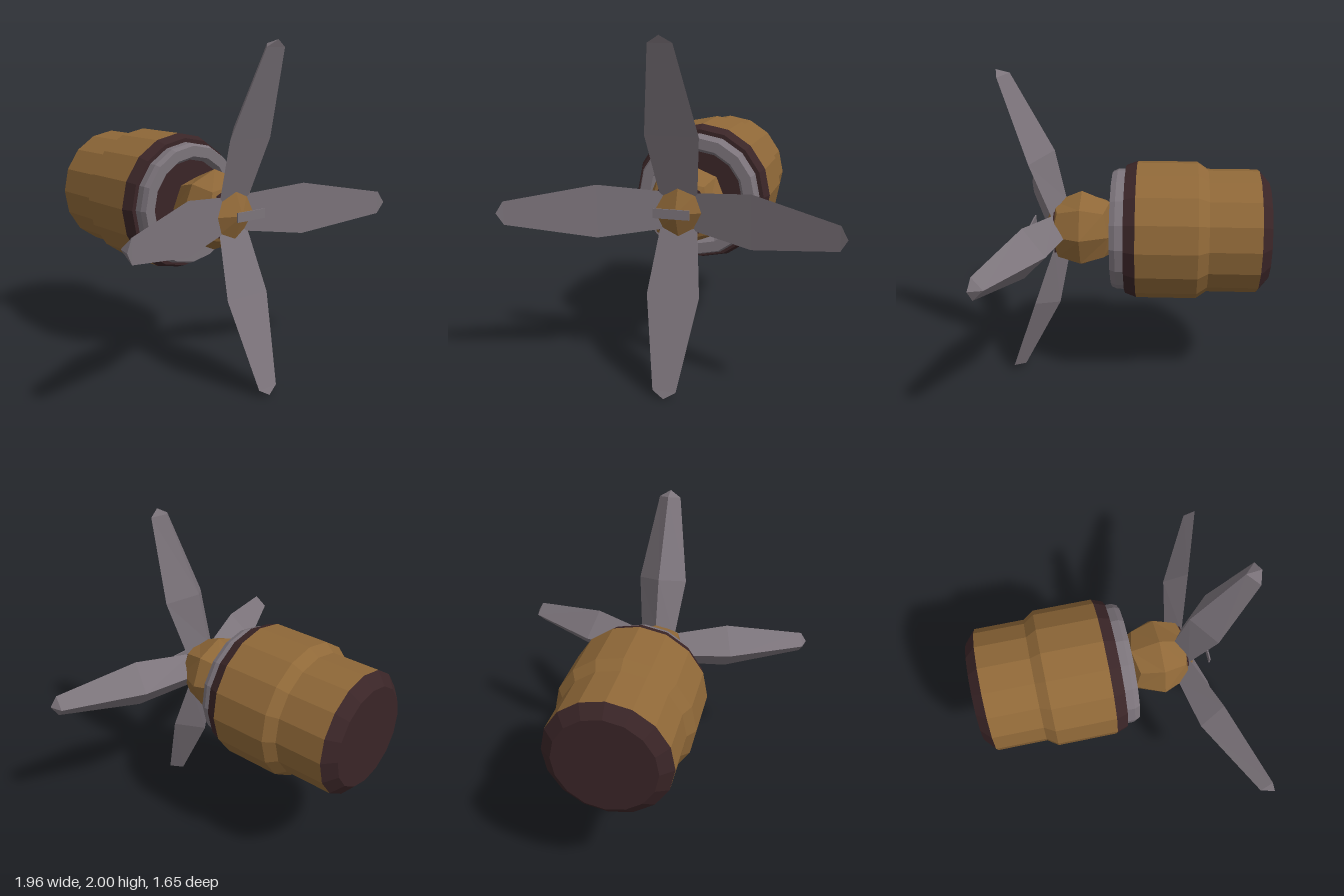
import * as THREE from 'three';

const paint = (name, color) => {
  const m = new THREE.MeshStandardMaterial({ color });
  m.name = name;
  return m;
};

// Split faces so every facet gets its own flat normal
function faceted(geometry) {
  const g = geometry.index ? geometry.toNonIndexed() : geometry;
  g.computeVertexNormals();
  return g;
}

// Turned shape around the z axis; profile points are [radius, z] from back to front
function turned(profile, sides = 16) {
  const g = new THREE.LatheGeometry(profile.map(([r, z]) => new THREE.Vector2(r, z)), sides);
  return faceted(g.rotateX(Math.PI / 2));
}

// One blade pointing up: flat front, ridged back, pointed tip
function bladeGeometry() {
  const right = [[0.11, 0.09, 0.5], [0.155, 0.455, 0.628], [0.068, 0.955, 0.806]];
  const left = right.map(([x, y, z]) => [-x, y, z]);
  const ridge = [[0, 0.2, 0.425], [0, 0.51, 0.49], [0, 0.975, 0.74]];
  const tip = [0, 0.995, 0.822];
  const pos = [];
  const tri = (...p) => p.forEach((v) => pos.push(...v));
  const quad = (a, b, c, d) => { tri(a, b, c); tri(a, c, d); };
  for (let i = 0; i < 2; i++) {
    quad(left[i], right[i], right[i + 1], left[i + 1]);
    quad(left[i], left[i + 1], ridge[i + 1], ridge[i]);
    quad(right[i + 1], right[i], ridge[i], ridge[i + 1]);
  }
  tri(left[2], right[2], tip);
  tri(left[2], tip, ridge[2]);
  tri(tip, right[2], ridge[2]);
  tri(right[0], left[0], ridge[0]);
  const g = new THREE.BufferGeometry();
  g.setAttribute('position', new THREE.Float32BufferAttribute(pos, 3));
  return faceted(g);
}

// Rounded hub: a 2x2x2 cube pushed out to a sphere
function hubGeometry(radius) {
  const g = new THREE.BoxGeometry(1, 1, 1, 2, 2, 2);
  const p = g.attributes.position;
  const v = new THREE.Vector3();
  for (let i = 0; i < p.count; i++) {
    v.fromBufferAttribute(p, i).setLength(radius);
    p.setXYZ(i, v.x, v.y, v.z);
  }
  return faceted(g);
}

export function createModel() {
  const brass = paint('brass', 0x8f6838);
  const steel = paint('steel', 0x7c747b);
  const dark = paint('darkBrown', 0x3a2527);
  const model = new THREE.Group();
  model.name = 'propellerMotor';
  const axisY = 1.01;

  const add = (name, geometry, material, y = axisY, z = 0) => {
    const m = new THREE.Mesh(geometry, material);
    m.name = name;
    m.position.set(0, y, z);
    model.add(m);
    return m;
  };

  // Motor housing with dark ends
  add('rearCap', turned([[0, -0.825], [0.31, -0.825], [0.385, -0.76]]), dark);
  add('housing', turned([[0.385, -0.76], [0.385, -0.45], [0.43, -0.385], [0.43, -0.015]]), brass);
  add('frontRim', turned([[0.43, -0.015], [0.405, 0.055], [0.3, 0.055]]), dark);

  // Steel collar around a dark recess
  add('collar', turned([[0.38, 0.05], [0.38, 0.105], [0.365, 0.138], [0.3, 0.138], [0.27, 0.09]]), steel);
  add('recess', turned([[0.29, 0.1], [0, 0.1]]), dark);

  // Hub with a dark washer behind the blades
  add('hub', hubGeometry(0.245), brass, axisY, 0.33);
  add('hubWasher', turned([[0, 0.488], [0.172, 0.488], [0.172, 0.496], [0, 0.496]], 8), dark);

  // Four forward-swept blades
  const blade = bladeGeometry();
  for (let i = 0; i < 4; i++) {
    const sideways = i % 2 === 1;
    const m = add('blade', blade, steel, sideways ? axisY : 1.002);
    m.rotation.z = i * Math.PI / 2;
    m.scale.y = sideways ? 0.983 : 1.003;
  }

  // Small plate in front of the hub
  add('frontPlate', new THREE.BoxGeometry(0.21, 0.055, 0.008), steel, 1.028, 0.645);

  return model;
}
